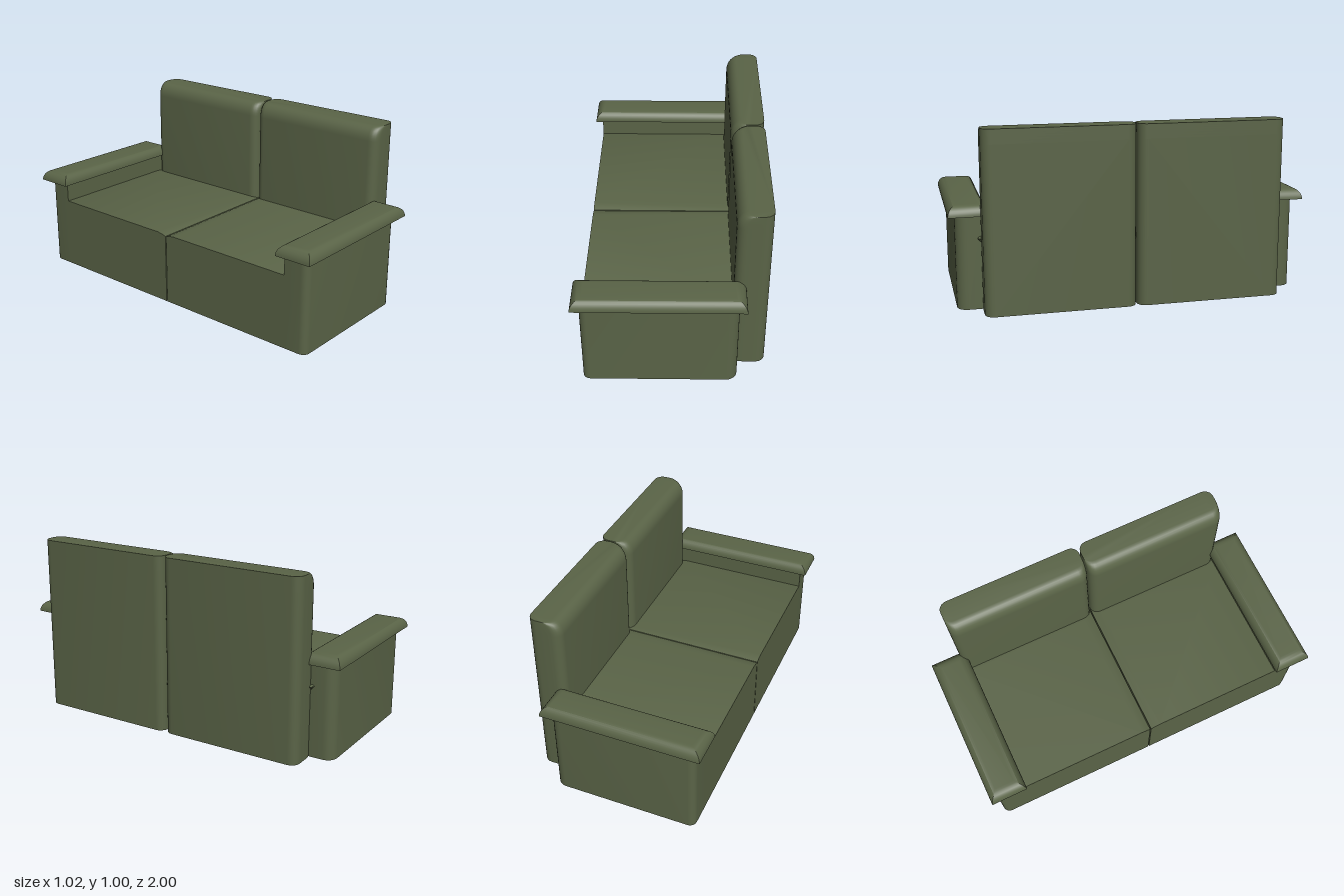
import * as THREE from 'three';
import { toCreasedNormals } from 'three/addons/utils/BufferGeometryUtils.js';

const material = new THREE.MeshStandardMaterial({ color: 0x5a6447 });

// Stacks rounded rectangles { y, x0, x1, z0, z1 } into a closed solid.
// radii: corner radii in the order x1z1, x0z1, x0z0, x1z0. side -1 mirrors it in z.
function stack(name, rings, radii, side) {
  const steps = 6, pos = [], index = [];
  let n = 0;
  rings.forEach(({ y, x0, x1, z0, z1 }) => {
    const start = pos.length;
    radii.forEach((r, c) => {
      const sx = c === 0 || c === 3 ? 1 : -1, sz = c < 2 ? 1 : -1;
      const cx = sx > 0 ? x1 - r : x0 + r, cz = sz > 0 ? z1 - r : z0 + r;
      const count = r > 0 ? steps : 0;
      for (let k = 0; k <= count; k++) {
        const a = (c + (count ? k / count : 0)) * Math.PI / 2;
        pos.push(cx + r * Math.cos(a), y, (cz + r * Math.sin(a)) * side);
      }
    });
    n = (pos.length - start) / 3;
  });
  const face = (a, b, c) => (side > 0 ? index.push(a, b, c) : index.push(a, c, b));
  for (let j = 0; j < rings.length - 1; j++) {
    for (let i = 0; i < n; i++) {
      const a = j * n + i, b = j * n + (i + 1) % n;
      face(a, a + n, b);
      face(b, a + n, b + n);
    }
  }
  // flat bottom and top
  const last = (rings.length - 1) * n;
  for (let i = 1; i < n - 1; i++) {
    face(0, i, i + 1);
    face(last, last + i + 1, last + i);
  }
  const geometry = new THREE.BufferGeometry();
  geometry.setAttribute('position', new THREE.Float32BufferAttribute(pos, 3));
  geometry.setIndex(index);
  const mesh = new THREE.Mesh(toCreasedNormals(geometry, 0.6), material);
  mesh.name = name;
  return mesh;
}

// Quarter-ellipse steps: in = inset fraction, up = rise fraction
const quarter = Array.from({ length: 9 }, (_, k) => {
  const a = (k / 8) * Math.PI / 2;
  return { in: 1 - Math.cos(a), up: Math.sin(a) };
});

function backCushion(side) {
  const base = { x0: 0.325, x1: 0.51, z0: 0.004, z1: 0.828 };
  const rings = [{ ...base, y: 0 }];
  // only the edge facing the seat is rounded at the top
  quarter.forEach((q) => rings.push({ ...base, x0: 0.325 + 0.06 * q.in, y: 0.92 + 0.08 * q.up }));
  return stack('backCushion', rings, [0.05, 0.05, 0.05, 0.05], side);
}

function seat(side) {
  // softened along the middle seam and towards the back
  return stack('seat', [
    { y: 0, x0: -0.47, x1: 0.345, z0: 0.003, z1: 0.825 },
    { y: 0.37, x0: -0.47, x1: 0.35, z0: 0.003, z1: 0.825 },
    { y: 0.397, x0: -0.47, x1: 0.38, z0: 0.003, z1: 0.845 },
    { y: 0.405, x0: -0.47, x1: 0.35, z0: 0.025, z1: 0.835 },
    { y: 0.41, x0: -0.47, x1: 0.31, z0: 0.06, z1: 0.825 },
  ], [0, 0, 0, 0], side);
}

function arm(side) {
  const base = { x0: -0.47, x1: 0.355, z0: 0.82, z1: 0.962 };
  return stack('arm', [{ ...base, y: 0 }, { ...base, y: 0.525 }], [0.06, 0.04, 0, 0], side);
}

function armPad(side) {
  const rings = quarter.map((q) => ({
    y: 0.52 + 0.06 * q.up,
    x0: -0.51 + 0.06 * q.in, x1: 0.39 - 0.06 * q.in,
    z0: 0.79 + 0.05 * q.in, z1: 1 - 0.05 * q.in,
  }));
  return stack('armPad', rings, [0, 0, 0, 0], side);
}

export function createModel() {
  const model = new THREE.Group();
  model.name = 'sofa';
  for (const side of [1, -1]) {
    const half = new THREE.Group();
    half.name = side > 0 ? 'sofaHalfFront' : 'sofaHalfRear';
    half.add(seat(side), backCushion(side), arm(side), armPad(side));
    model.add(half);
  }
  return model;
}
